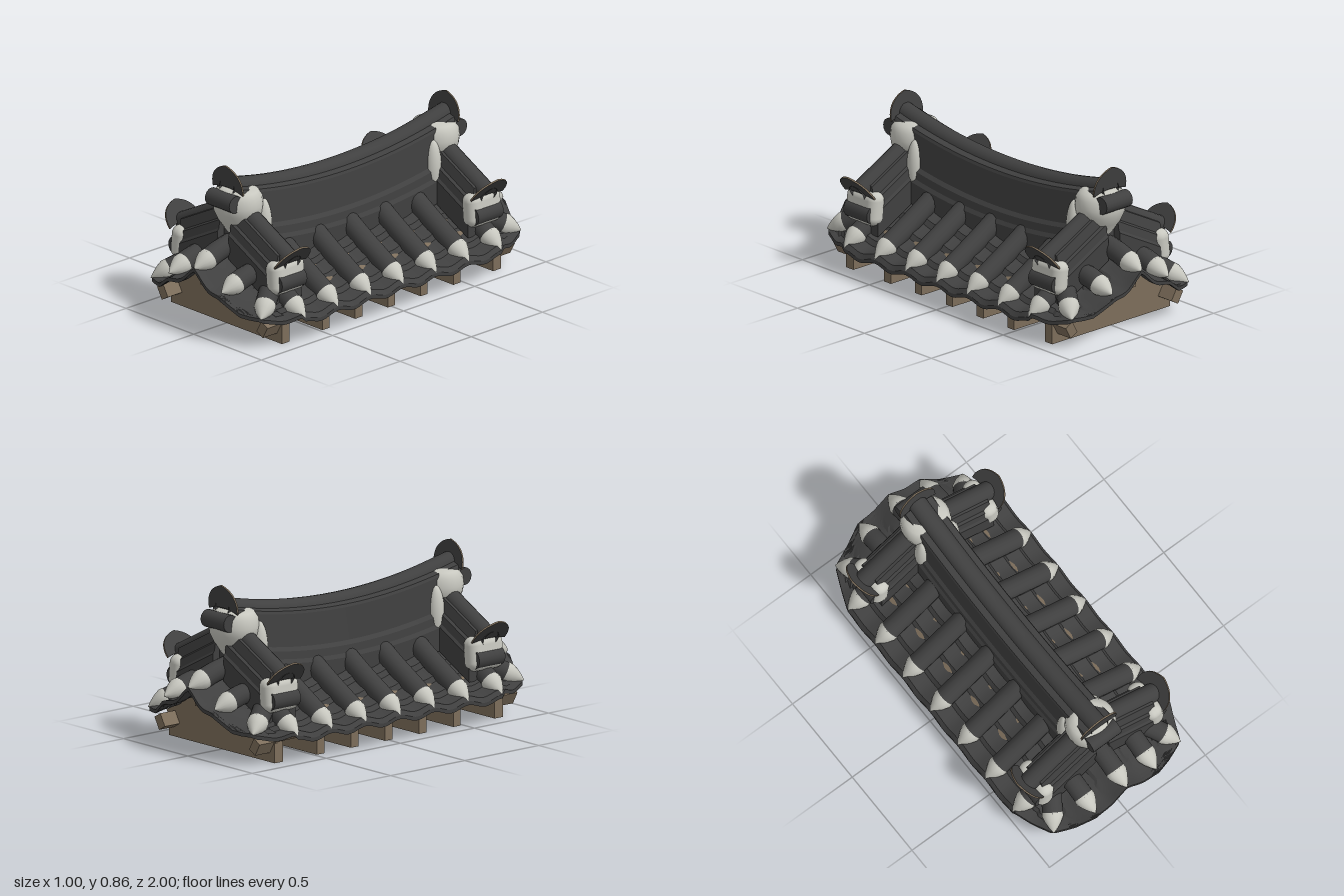
import * as THREE from 'three';
import { toCreasedNormals } from 'three/addons/utils/BufferGeometryUtils.js';
import { RoundedBoxGeometry } from 'three/addons/geometries/RoundedBoxGeometry.js';

const mat = (name, color) => {
  const m = new THREE.MeshStandardMaterial({ color, side: THREE.DoubleSide });
  m.name = name;
  return m;
};
const V = (x, y, z) => new THREE.Vector3(x, y, z);
const lathe = (pts, n) => new THREE.LatheGeometry(pts.map(p => new THREE.Vector2(...p)), n);

// Skin a list of closed rings (counter-clockwise along the direction of travel)
function loft(rings, crease = 0.6) {
  const pos = [], n = rings[0].length;
  const tri = (...ps) => ps.forEach(p => pos.push(...p));
  const quad = (a, b, c, d) => { tri(a, b, c); tri(a, c, d); };
  for (let j = 0; j < rings.length - 1; j++) {
    for (let i = 0; i < n; i++) {
      const k = (i + 1) % n;
      quad(rings[j][i], rings[j][k], rings[j + 1][k], rings[j + 1][i]);
    }
  }
  const first = rings[0], last = rings[rings.length - 1];
  for (let i = 0; i < n / 2 - 1; i++) {
    quad(last[i], last[i + 1], last[n - 2 - i], last[n - 1 - i]);
    quad(first[n - 1 - i], first[n - 2 - i], first[i + 1], first[i]);
  }
  const g = new THREE.BufferGeometry();
  g.setAttribute('position', new THREE.Float32BufferAttribute(pos, 3));
  return toCreasedNormals(g, crease);
}

// Mirrored ridge section [halfWidth, y] swept along z, raised by lift(z)
function ridgeGeometry(section, z0, z1, steps, lift) {
  const rings = [];
  for (let j = 0; j <= steps; j++) {
    const z = z0 + (z1 - z0) * j / steps, l = lift(z);
    const right = section.map(([h, y]) => [h, y + l, z]);
    rings.push([...right, ...right.map(([x, y]) => [-x, y, z]).reverse()]);
  }
  return loft(rings, 0.3);
}

// Roof slope and half width of the clipped outline
const slope = x => 0.42 - 0.68 * Math.abs(x) + 0.31 * x * x;
const halfWidth = a => a < 0.7 ? 0.5 : a < 0.91 ? 0.5 - (a - 0.7) * 0.43 : 0.41 - (a - 0.91) * 2.33;

export function createModel() {
  const tile = mat('darkTile', 0x404040);
  const plaster = mat('plaster', 0xc8c8c0);
  const wood = mat('wood', 0x7d6e5b);
  const model = new THREE.Group();
  model.name = 'tiledRoof';

  const add = (parent, name, geo, material, p = [0, 0, 0], r = [0, 0, 0], s = [1, 1, 1]) => {
    const m = new THREE.Mesh(geo, material);
    m.name = name;
    m.position.set(...p);
    m.rotation.set(...r);
    m.scale.set(...s);
    parent.add(m);
    return m;
  };

  // Scalloped bed of concave tiles, laid in overlapping courses
  const rings = [];
  for (let j = 0; j <= 96; j++) {
    const z = -1 + j / 48, a = Math.abs(z), w = halfWidth(a);
    const t = THREE.MathUtils.smoothstep(a, 0.72, 0.98);
    const top = [];
    for (let i = 0; i <= 60; i++) {
      const x = w * (i / 30 - 1), ax = Math.abs(x);
      const course = 0.022 * ((ax / 0.1 + 0.001) % 1 - 0.5) * (1 - t);
      const sideDip = 0.025 * Math.sin(Math.PI * z / 0.23) ** 2 * (1 - t);
      const endDip = 0.025 * Math.sin(Math.PI * x / 0.2) ** 2 * t;
      top.push([x, slope(x) + course - sideDip - endDip - 0.06 * t * (1 - 1.2 * ax), z]);
    }
    rings.push([...top.map(([x, y]) => [x, y - 0.02, z]), ...top.reverse()]);
  }
  add(model, 'tileBed', loft(rings, 0.35), tile);

  // Round tile rows with pointed plaster caps
  const capGeo = lathe([[0.055, -0.01], [0.055, 0.012], [0.042, 0.042], [0.022, 0.074], [0, 0.1]], 16);
  const tileRow = (parent, points) => {
    const curve = new THREE.CatmullRomCurve3(points);
    add(parent, 'roundTileRow', new THREE.TubeGeometry(curve, 8, 0.054, 14), tile);
    const cap = add(parent, 'tileCap', capGeo, plaster, curve.getPoint(1).toArray());
    cap.quaternion.setFromUnitVectors(V(0, 1, 0), curve.getTangent(1));
  };
  for (let k = -3; k <= 3; k++) {
    for (const s of [-1, 1]) {
      tileRow(model, [[0.08, 0.02], [0.2, 0.018], [0.31, 0.013], [0.412, 0.003]]
        .map(([x, up]) => V(s * x, slope(x) + up, k * 0.23)));
    }
  }

  // Main ridge, sagging in the middle
  const sag = z => 0.09 * (z / 0.76) ** 2;
  add(model, 'mainRidge', ridgeGeometry([[0.13, 0.27], [0.13, 0.39], [0.118, 0.41], [0.115, 0.45],
    [0.1, 0.47], [0.09, 0.64], [0.084, 0.655], [0.03, 0.67]], -0.75, 0.75, 24, sag), tile);
  const ridgePath = new THREE.CatmullRomCurve3(
    [-0.77, -0.5, -0.25, 0, 0.25, 0.5, 0.77].map(z => V(0, 0.65 + sag(z), z)));
  add(model, 'ridgeCap', new THREE.TubeGeometry(ridgePath, 24, 0.053, 16), tile);

  // Arched end tile with a wood-coloured rim
  const arch = new THREE.Shape();
  arch.moveTo(-0.11, 0);
  arch.bezierCurveTo(-0.12, 0.08, -0.07, 0.125, 0, 0.14);
  arch.bezierCurveTo(0.07, 0.125, 0.12, 0.08, 0.11, 0);
  arch.quadraticCurveTo(0, 0.04, -0.11, 0);
  const archGeo = new THREE.ExtrudeGeometry(arch, { depth: 0.009, bevelEnabled: false, curveSegments: 12 });

  const ball = new THREE.SphereGeometry(1, 20, 14);
  const plugGeo = lathe([[0, 0.42], [0.05, 0.45], [0.068, 0.5], [0.105, 0.55], [0.13, 0.6],
    [0.136, 0.64], [0.13, 0.685], [0.112, 0.715], [0.08, 0.73], [0, 0.735]], 24);
  const descend = z => 0.62 - 0.52 * (z - 0.13);
  const descendGeo = ridgeGeometry([[0.105, -0.3], [0.105, -0.17], [0.095, -0.155], [0.088, -0.11],
    [0.074, -0.1], [0.06, -0.04], [0.02, -0.03]], 0.04, 0.36, 4, descend).rotateY(Math.PI / 2);

  for (const side of [0, 1]) {
    const end = new THREE.Group();
    end.name = side ? 'backEnd' : 'frontEnd';
    end.rotation.y = side * Math.PI;
    model.add(end);

    // Ridge end
    add(end, 'ridgeEndPlaster', plugGeo, plaster, [0, 0, 0.69], [0, 0, 0], [1, 1, 0.93]);
    for (const s of [-1, 1]) {
      add(end, 'ridgeSidePlaster', ball, plaster, [s * 0.09, 0.51, 0.595], [0, 0, 0], [0.045, 0.15, 0.045]);
    }
    add(end, 'ridgeEndTile', new THREE.CylinderGeometry(0.046, 0.046, 0.18, 16), tile,
      [0, 0.675, 0.79], [0, 0, Math.PI / 2]);
    add(end, 'ridgeEndArch', archGeo, [tile, wood], [0, 0.72, 0.752], [0.12, 0, 0]);

    // Rows along the end eave
    tileRow(end, [V(0, 0.43, 0.74), V(0, 0.41, 0.83), V(0, 0.385, 0.905)]);
    for (const s of [-1, 1]) {
      tileRow(end, [V(s * 0.195, 0.335, 0.74), V(s * 0.195, 0.325, 0.82), V(s * 0.195, 0.303, 0.895)]);
      tileRow(end, [V(s * 0.29, 0.265, 0.74), V(s * 0.325, 0.24, 0.79), V(s * 0.358, 0.212, 0.84)]);

      // Descending ridge
      const arm = new THREE.Group();
      arm.name = 'descendingRidge';
      arm.position.z = 0.69;
      arm.rotation.y = s < 0 ? Math.PI : 0;
      end.add(arm);
      add(arm, 'descendingWall', descendGeo, tile);
      const path = new THREE.LineCurve3(V(0.05, descend(0.05) - 0.055, 0), V(0.41, descend(0.41) - 0.055, 0));
      add(arm, 'descendingCap', new THREE.TubeGeometry(path, 1, 0.05, 16), tile);
      add(arm, 'descendingPlaster', new RoundedBoxGeometry(0.1, 0.18, 0.222, 4, 0.045), plaster,
        [0.352, 0.343, 0], [0, 0, 0.1]);
      add(arm, 'descendingEndTile', new THREE.CylinderGeometry(0.05, 0.05, 0.175, 16), tile,
        [0.372, 0.318, 0], [Math.PI / 2, 0, 0]);
      const lean = new THREE.Group();
      lean.position.set(0.382, 0.415, 0);
      lean.rotation.z = -0.66;
      arm.add(lean);
      add(lean, 'descendingArch', archGeo, [tile, wood], [0, 0, 0], [0, Math.PI / 2, 0]);
    }

    // Wooden gable with bracket ends
    const panel = new THREE.Shape([[-0.41, 0], [0.41, 0], [0.41, 0.1], [0.435, 0.14], [0, 0.34],
      [-0.435, 0.14], [-0.41, 0.1]].map(p => new THREE.Vector2(...p)));
    add(end, 'gablePanel', new THREE.ExtrudeGeometry(panel, { depth: 0.02, bevelEnabled: false }), wood,
      [0, 0, 0.75]);
    add(end, 'centreBracket', new THREE.BoxGeometry(0.05, 0.07, 0.16), wood, [0, 0.283, 0.85]);
    for (const s of [-1, 1]) {
      add(end, 'cornerBracket', new THREE.BoxGeometry(0.052, 0.072, 0.12), wood,
        [s * 0.368, 0.093, 0.81], [0, 0, s * -0.52]);
    }
  }

  // Wooden boards under the tiles and cross beams
  const core = new THREE.Shape([[-0.41, 0.11], [0.41, 0.11], [0.42, 0.122], [0.28, 0.23], [0, 0.34],
    [-0.28, 0.23], [-0.42, 0.122]].map(p => new THREE.Vector2(...p)));
  add(model, 'roofBoards', new THREE.ExtrudeGeometry(core, { depth: 1.52, bevelEnabled: false }), wood, [0, 0, -0.76]);
  for (const z of [-0.74, -0.46, -0.23, 0, 0.23, 0.46, 0.74]) {
    add(model, 'crossBeam', new THREE.BoxGeometry(0.82, 0.115, 0.05), wood, [0, 0.0575, z]);
  }
  return model;
}
